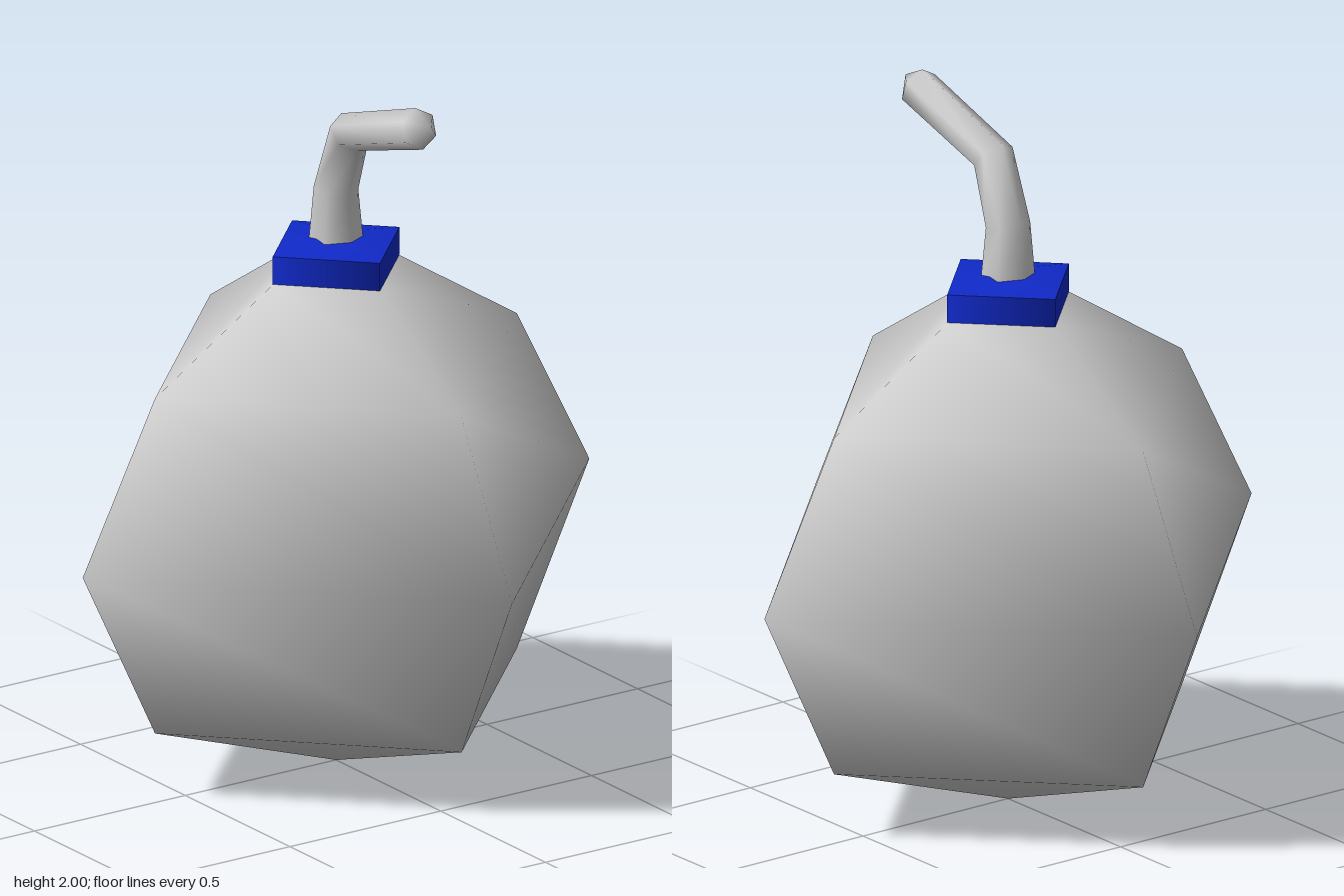
import * as THREE from 'three';

const grey = new THREE.MeshStandardMaterial({ color: 0xcccccc });
const blue = new THREE.MeshStandardMaterial({ color: 0x1029c8 });

// Four-sided turned part, corners on the x and z axes; profile runs upward as [radius, y]
function turned(name, profile, material) {
  const points = profile.map(([r, y]) => new THREE.Vector2(r, y));
  const mesh = new THREE.Mesh(new THREE.LatheGeometry(points, 4), material);
  mesh.name = name;
  return mesh;
}

// Six-sided bent tube; each ring is given by its back and front corner as [z, y] pairs
function bentTube(name, rings, tip, material) {
  const sides = 6, positions = [], index = [];
  for (const [[bz, by], [fz, fy]] of rings) {
    const uz = (bz - fz) / 2, uy = (by - fy) / 2, r = Math.hypot(uz, uy);
    for (let i = 0; i < sides; i++) {
      const a = (i / sides) * Math.PI * 2;
      positions.push(
        r * Math.sin(a),
        (by + fy) / 2 + uy * Math.cos(a),
        (bz + fz) / 2 + uz * Math.cos(a)
      );
    }
  }
  positions.push(0, tip[1], tip[0]);
  const last = (rings.length - 1) * sides, apex = rings.length * sides;
  for (let i = 0; i < sides; i++) {
    const n = (i + 1) % sides;
    for (let k = 0; k < last; k += sides) {
      index.push(k + i, k + sides + i, k + n, k + n, k + sides + i, k + sides + n);
    }
    index.push(last + i, apex, last + n);
  }
  const geometry = new THREE.BufferGeometry();
  geometry.setAttribute('position', new THREE.Float32BufferAttribute(positions, 3));
  geometry.setIndex(index);
  geometry.computeVertexNormals();
  const mesh = new THREE.Mesh(geometry, material);
  mesh.name = name;
  return mesh;
}

export function createModel() {
  const model = new THREE.Group();
  model.name = 'flask';

  // Faceted round body, pointed at the bottom
  model.add(turned('body', [[0, 0], [0.6, 0.2], [0.84, 0.7], [0.6, 1.17], [0.2, 1.425]], grey));

  // Collar with a slightly raised lid
  const collar = new THREE.Group();
  collar.name = 'collar';
  collar.add(
    turned('collarBase', [[0, 1.42], [0.21, 1.42]], blue),
    turned('collarSide', [[0.21, 1.42], [0.21, 1.5]], blue),
    turned('collarLid', [[0.21, 1.5], [0, 1.53]], blue)
  );
  model.add(collar);

  // Spout bending forward to a blunt point; material is two-sided as its root is open
  const spoutMaterial = grey.clone();
  spoutMaterial.side = THREE.DoubleSide;
  model.add(bentTube('spout', [
    [[-0.075, 1.5], [0.075, 1.5]],
    [[-0.06, 1.67], [0.06, 1.645]],
    [[0.025, 1.88], [0.105, 1.795]],
    [[0.38, 2.0], [0.415, 1.89]],
  ], [0.455, 1.965], spoutMaterial));

  return model;
}
